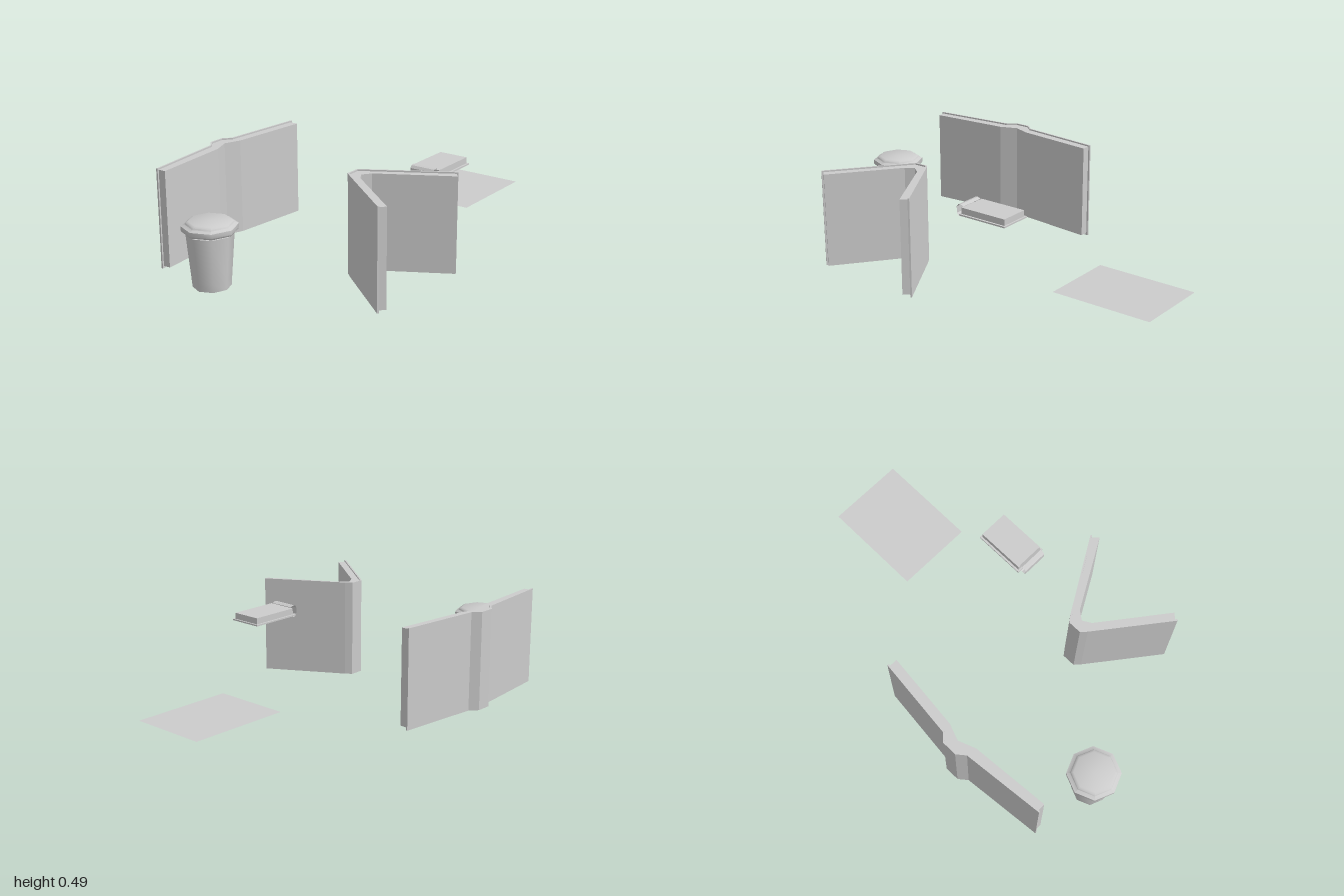
import * as THREE from 'three';
import { toCreasedNormals } from 'three/addons/utils/BufferGeometryUtils.js';

const grey = new THREE.MeshStandardMaterial({ color: 0xcccccc });
const greyDouble = new THREE.MeshStandardMaterial({ color: 0xcccccc, side: THREE.DoubleSide });

function mesh(name, geometry, material = grey) {
  const m = new THREE.Mesh(geometry, material);
  m.name = name;
  return m;
}

// Upright prism from a plan outline of [x, z] points
function prism(outline, y0, y1) {
  const shape = new THREE.Shape(outline.map(([x, z]) => new THREE.Vector2(x, -z)));
  const g = new THREE.ExtrudeGeometry(shape, { depth: y1 - y0, bevelEnabled: false });
  g.rotateX(-Math.PI / 2);
  g.translate(0, y0, 0);
  return g;
}

// Shift a left-to-right plan line towards its inner side
function offset(line, d) {
  return line.map(([x, z], i) => {
    const a = line[Math.max(i - 1, 0)];
    const b = line[Math.min(i + 1, line.length - 1)];
    const dx = b[0] - a[0], dz = b[1] - a[1], len = Math.hypot(dx, dz);
    return [x - (dz / len) * d, z + (dx / len) * d];
  });
}

// Pull both ends of a line in a little
function trim(line, t) {
  const pull = (p, q) => [p[0] + (q[0] - p[0]) * t, p[1] + (q[1] - p[1]) * t];
  const n = line.length;
  return [pull(line[0], line[1]), ...line.slice(1, -1), pull(line[n - 1], line[n - 2])];
}

// Open book standing on end: thin folded cover and a page block inside it
function openBook(name, cover, pageFront) {
  const book = new THREE.Group();
  book.name = name;
  const inner = offset(cover, 0.008);
  book.add(mesh('cover', prism([...cover, ...inner.slice().reverse()], 0, 0.485)));
  const pageBack = trim(inner, 0.02);
  book.add(mesh('pages', prism([...pageBack, ...pageFront.slice().reverse()], 0.01, 0.478)));
  return book;
}

function lathe(profile) {
  const points = profile.map(([r, y]) => new THREE.Vector2(r, y));
  return toCreasedNormals(new THREE.LatheGeometry(points, 8), 0.8);
}

function box(x0, x1, y0, y1, z0, z1) {
  return new THREE.BoxGeometry(x1 - x0, y1 - y0, z1 - z0)
    .translate((x0 + x1) / 2, (y0 + y1) / 2, (z0 + z1) / 2);
}

// Open strip following an [x, y] profile, spanning z0 to z1
function strip(profile, z0, z1) {
  const pos = [], index = [];
  profile.forEach(([x, y], i) => {
    pos.push(x, y, z0, x, y, z1);
    if (i) {
      const a = 2 * i - 2;
      index.push(a, a + 1, a + 2, a + 1, a + 3, a + 2);
    }
  });
  const g = new THREE.BufferGeometry();
  g.setAttribute('position', new THREE.Float32BufferAttribute(pos, 3));
  g.setIndex(index);
  g.computeVertexNormals();
  return toCreasedNormals(g, 0.5);
}

export function createModel() {
  const model = new THREE.Group();
  model.name = 'booksAndCup';

  // Wide open book at the back
  model.add(openBook('wideOpenBook',
    [[-0.842, -0.538], [-0.435, -0.58], [-0.393, -0.614], [-0.318, -0.614], [-0.28, -0.58], [0.125, -0.538]],
    [[-0.832, -0.494], [-0.44, -0.527], [-0.355, -0.56], [-0.275, -0.53], [0.115, -0.49]]));

  // Half-open book at the front
  model.add(openBook('halfOpenBook',
    [[-0.672, 0.56], [-0.415, 0.228], [-0.39, 0.2], [-0.322, 0.2], [-0.3, 0.23], [-0.088, 0.592]],
    [[-0.634, 0.582], [-0.398, 0.275], [-0.356, 0.25], [-0.314, 0.28], [-0.127, 0.614]]));

  // Takeaway cup with a lid
  const cup = new THREE.Group();
  cup.name = 'cup';
  cup.position.set(-0.872, 0, -0.197);
  cup.add(mesh('cupBody', lathe([[0, 0.01], [0.087, 0.01], [0.09, 0.05], [0.108, 0.263], [0, 0.263]])));
  cup.add(mesh('cupLid', lathe([[0, 0.272], [0.122, 0.272], [0.128, 0.28], [0.128, 0.3],
    [0.11, 0.307], [0.107, 0.314], [0.095, 0.321], [0, 0.321]])));
  model.add(cup);

  // Small pad: base board, page block and curved binding strip
  const pad = new THREE.Group();
  pad.name = 'smallPad';
  pad.add(mesh('baseBoard', box(0.048, 0.308, 0.38, 0.387, 0.243, 0.41)));
  pad.add(mesh('padPages', box(0.056, 0.3, 0.387, 0.417, 0.253, 0.4)));
  pad.add(mesh('bindingStrip', strip([[0.058, 0.42], [0.042, 0.427], [0.028, 0.424], [0.019, 0.412],
    [0.019, 0.381], [0.028, 0.37], [0.042, 0.367], [0.058, 0.378]], 0.264, 0.39), greyDouble));
  model.add(pad);

  // Loose sheet of paper
  const sheet = mesh('paperSheet', new THREE.PlaneGeometry(0.508, 0.385).rotateX(-Math.PI / 2), greyDouble);
  sheet.position.set(0.746, 0.08, 0.1);
  model.add(sheet);

  return model;
}
